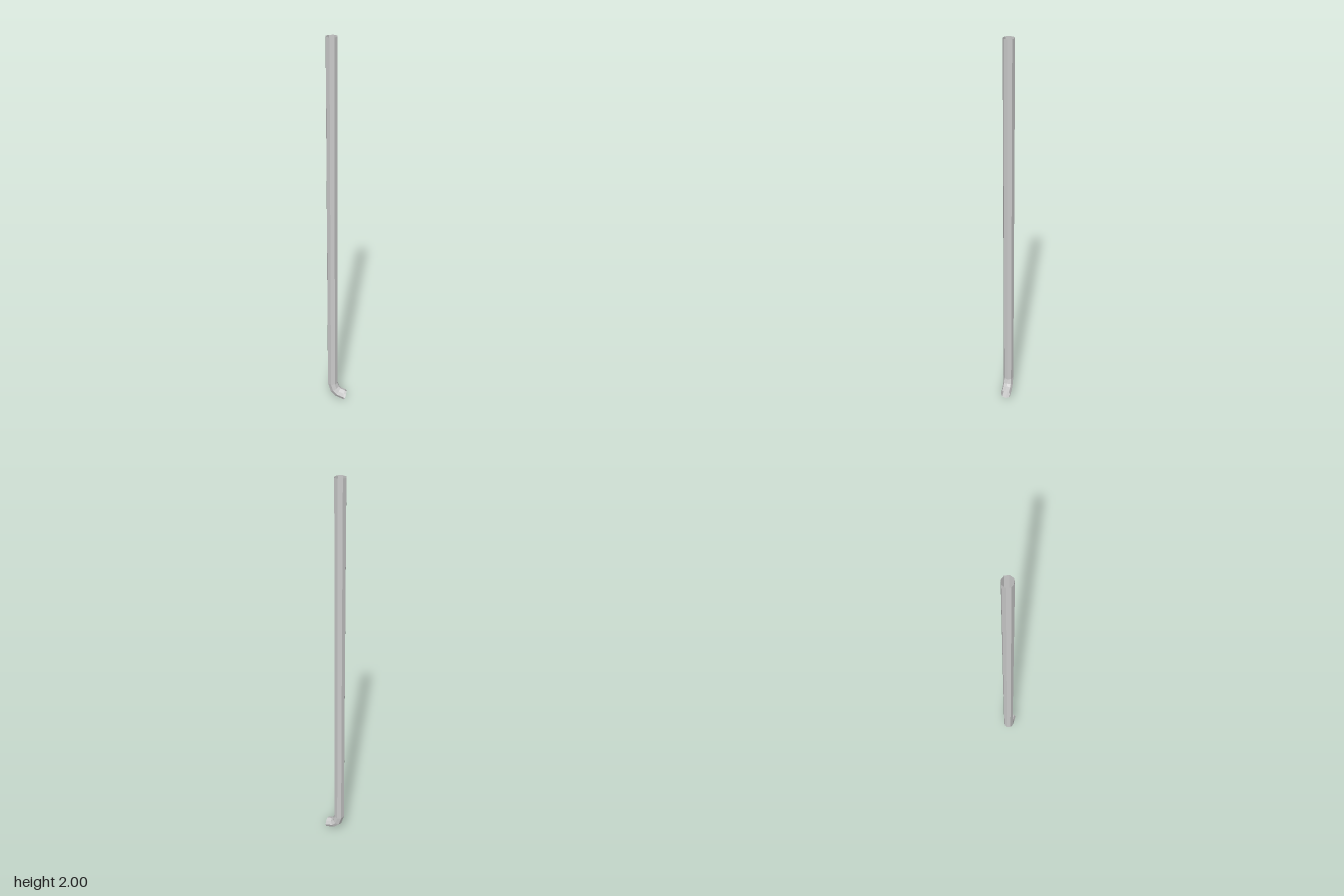
import * as THREE from 'three';

const RADIUS = 0.028, SIDES = 8;

// Sweeps an octagonal ring through stations [x, y, tilt]; tilt turns it about z
function pipeGeometry(stations) {
  const pos = [], index = [];
  for (const [x, y, tilt] of stations) {
    for (let i = 0; i < SIDES; i++) {
      const a = (i / SIDES) * Math.PI * 2;
      const u = Math.cos(a) * RADIUS;
      pos.push(x + u * Math.cos(tilt), y + u * Math.sin(tilt), Math.sin(a) * RADIUS);
    }
  }
  for (let r = 0; r < stations.length - 1; r++) {
    for (let i = 0; i < SIDES; i++) {
      const j = (i + 1) % SIDES;
      const a = r * SIDES + i, b = r * SIDES + j;
      const c = a + SIDES, d = b + SIDES;
      index.push(a, b, c, b, d, c);
    }
  }
  const geo = new THREE.BufferGeometry();
  geo.setAttribute('position', new THREE.Float32BufferAttribute(pos, 3));
  geo.setIndex(index);
  const flat = geo.toNonIndexed();
  flat.computeVertexNormals();
  return flat;
}

export function createModel() {
  const group = new THREE.Group();
  group.name = 'drainpipe';
  const material = new THREE.MeshStandardMaterial({
    color: 0xcccccc, flatShading: true, side: THREE.DoubleSide,
  });

  // Open upright pipe, elbow and short outlet towards +x
  const pipe = new THREE.Mesh(pipeGeometry([
    [-0.022, 2, 0],
    [-0.022, 0.098, 0],
    [-0.01, 0.058, 0.58],
    [0.01, 0.038, 1.05],
    [0.05, 0.028, Math.PI / 2],
  ]), material);
  pipe.name = 'pipeWithOutlet';
  group.add(pipe);
  return group;
}
